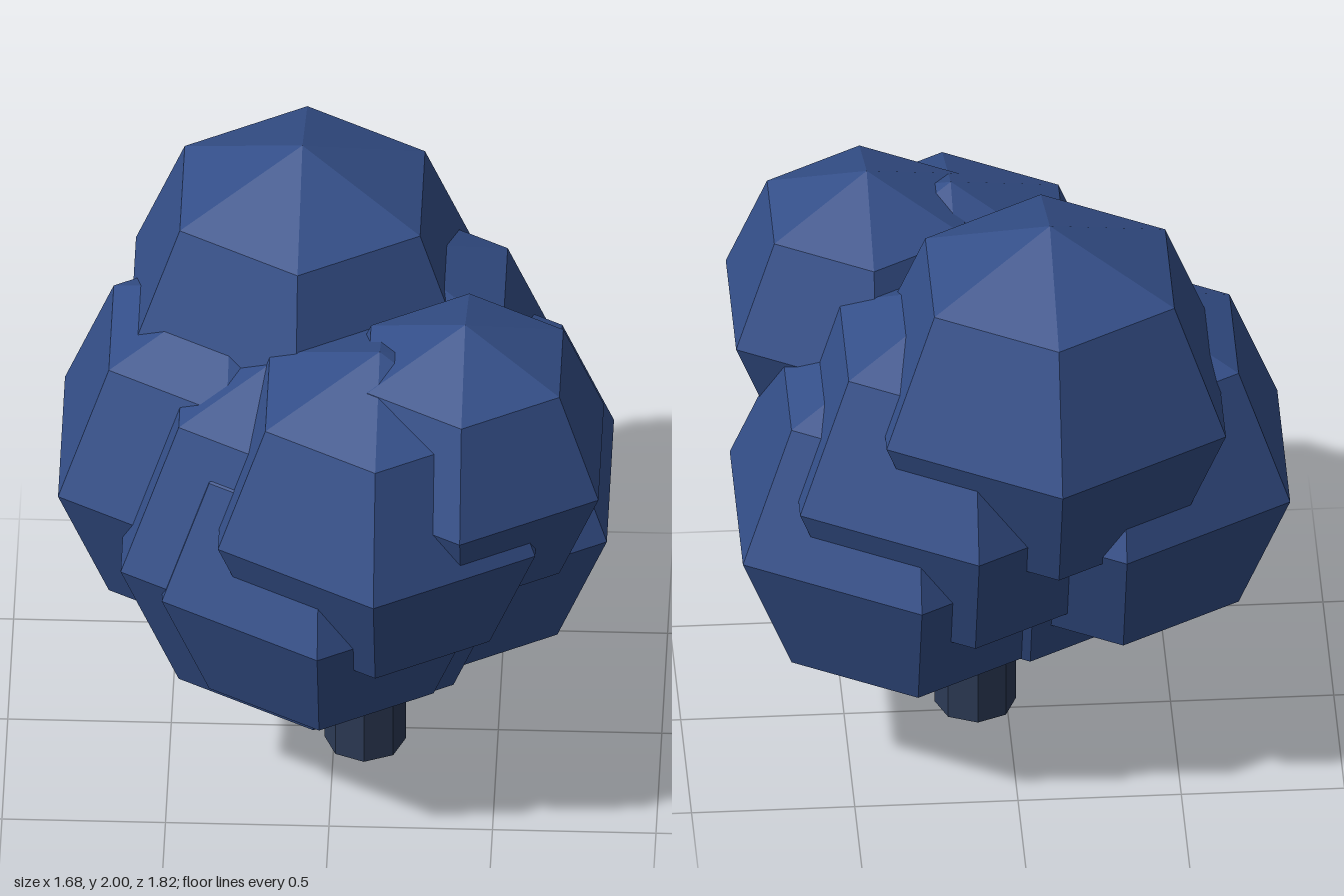
import * as THREE from 'three';

export function createModel() {
  const tree = new THREE.Group();
  tree.name = 'tree';

  const foliage = new THREE.MeshStandardMaterial({ color: 0x344f89, flatShading: true });
  foliage.name = 'blue foliage';
  const bark = new THREE.MeshStandardMaterial({ color: 0x2c3a55, flatShading: true });
  bark.name = 'dark bark';

  const add = (name, geometry, material, x, y, z) => {
    const mesh = new THREE.Mesh(geometry, material);
    mesh.name = name;
    mesh.position.set(x, y, z);
    tree.add(mesh);
  };

  // Octagonal trunk with a tapered top reaching into the crown
  add('trunk', new THREE.CylinderGeometry(0.125, 0.125, 0.28, 8), bark, 0.095, 0.14, 0.05);
  add('trunkTop', new THREE.CylinderGeometry(0.07, 0.125, 0.07, 8), foliage, 0.095, 0.315, 0.05);

  // Crown: overlapping six-sided leaf clumps, each with a corner facing front
  const clumps = [
    // name, x, y, z, radius
    ['topClump', -0.11, 1.40, -0.31, 0.60],
    ['upperLeftClump', 0.41, 1.32, 0.31, 0.48],
    ['frontClump', 0.15, 1.16, 0.35, 0.56],
    ['rightClump', -0.32, 1.01, -0.11, 0.60],
    ['lowerLeftClump', 0.31, 0.87, -0.13, 0.61],
    ['lowerRightClump', -0.045, 0.92, 0.10, 0.686],
    ['lowerFrontClump', -0.025, 0.885, 0.26, 0.56],
    ['backClump', 0.14, 1.10, -0.21, 0.61],
  ];
  for (const [name, x, y, z, radius] of clumps) {
    add(name, new THREE.SphereGeometry(radius, 6, 4).rotateY(Math.PI / 2), foliage, x, y, z);
  }

  return tree;
}
